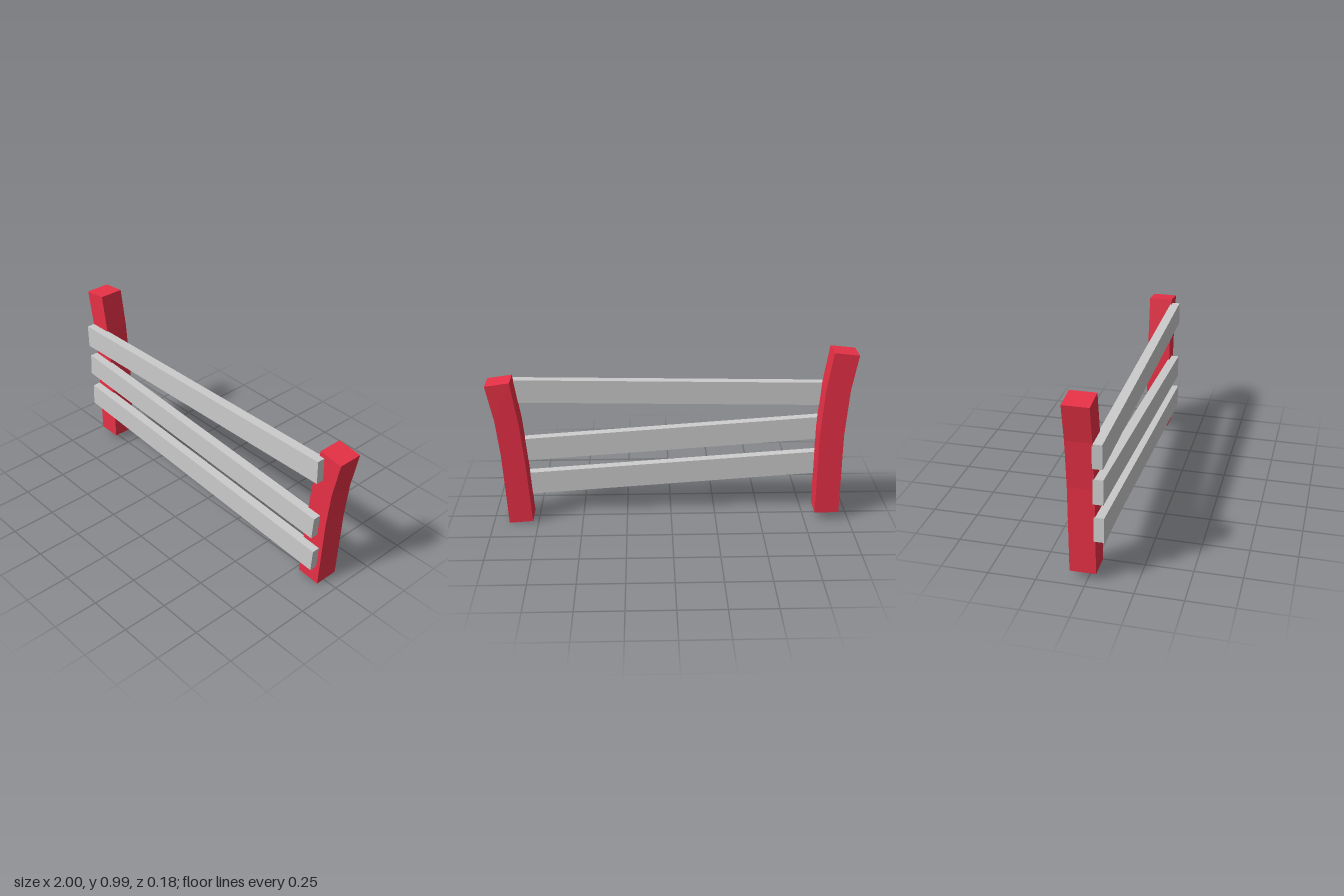
import * as THREE from 'three';

const red = new THREE.MeshStandardMaterial({ color: 0xe83146, flatShading: true });
const grey = new THREE.MeshStandardMaterial({ color: 0xcccccc, flatShading: true });

// Outline in the XY plane given thickness between zBack and zFront
function slab(name, outline, zBack, zFront, material) {
  const shape = new THREE.Shape(outline.map(([x, y]) => new THREE.Vector2(x, y)));
  const geometry = new THREE.ExtrudeGeometry(shape, { depth: zFront - zBack, bevelEnabled: false });
  geometry.translate(0, 0, zBack);
  const mesh = new THREE.Mesh(geometry, material);
  mesh.name = name;
  return mesh;
}

export function createModel() {
  const group = new THREE.Group();
  group.name = 'fence';

  // Bent posts, each leaning outward at the top
  group.add(slab('rightPost', [
    [-0.945, 0.045], [-0.81, 0.045], [-0.812, 0.52], [-0.832, 0.78],
    [-0.865, 0.993], [-1, 0.978], [-0.965, 0.78], [-0.946, 0.52],
  ], -0.09, 0.046, red));
  group.add(slab('leftPost', [
    [0.78, 0.013], [0.912, 0.003], [0.935, 0.42], [0.957, 0.62],
    [0.998, 0.822], [0.865, 0.84], [0.826, 0.59], [0.804, 0.36],
  ], -0.088, 0.048, red));

  // Crooked rails nailed to the front: start, end, of the centre line
  const rails = [
    ['topRail', -0.963, 0.711, 0.893, 0.745],
    ['middleRail', -0.957, 0.519, 0.89, 0.39],
    ['bottomRail', -0.952, 0.307, 0.9, 0.18],
  ];
  for (const [name, x0, y0, x1, y1] of rails) {
    const dx = x1 - x0, dy = y1 - y0;
    const rail = new THREE.Mesh(new THREE.BoxGeometry(Math.hypot(dx, dy), 0.131, 0.052), grey);
    rail.name = name;
    rail.position.set((x0 + x1) / 2, (y0 + y1) / 2, 0.066);
    rail.rotation.z = Math.atan2(dy, dx);
    group.add(rail);
  }
  return group;
}
